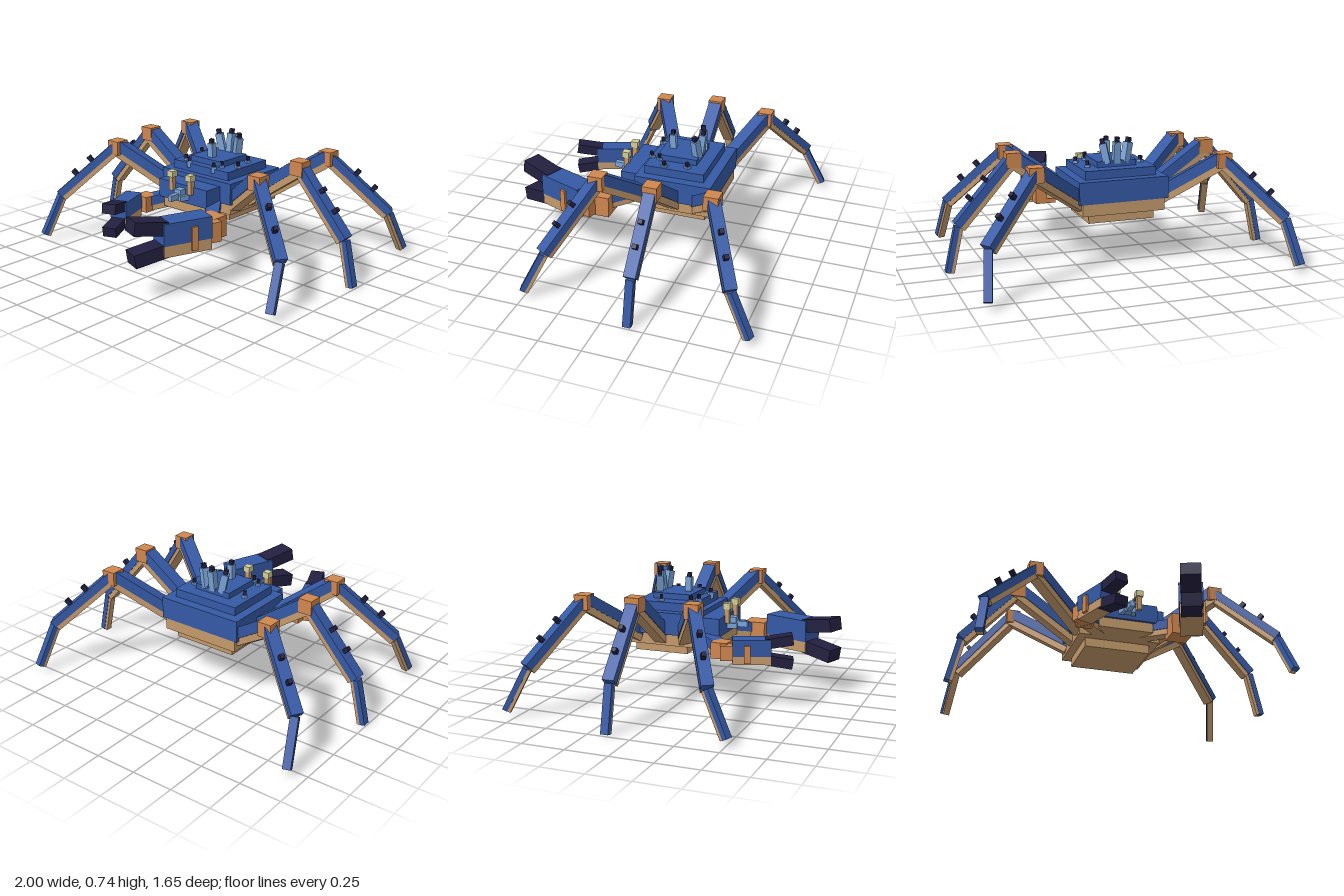
import * as THREE from 'three';

const paint = (name, color) => {
  const m = new THREE.MeshStandardMaterial({ color });
  m.name = name;
  return m;
};
const blue = paint('shell blue', 0x3559a5);
const tan = paint('belly tan', 0xc49a6c);
const orange = paint('joint orange', 0xd0874f);
const dark = paint('claw dark', 0x232040);
const sky = paint('spine light blue', 0x7aa4d8);
const cream = paint('eye cream', 0xd4cd98);

const V = (x, y, z) => new THREE.Vector3(x, y, z);

// Box given by size and centre
function box(parent, name, mat, size, pos) {
  const mesh = new THREE.Mesh(new THREE.BoxGeometry(...size), mat);
  mesh.name = name;
  mesh.position.set(...pos);
  parent.add(mesh);
  return mesh;
}

// Group at a whose +z runs towards b, with +y on the upper side
function along(parent, name, a, b) {
  const g = new THREE.Group();
  g.name = name;
  const z = b.clone().sub(a).normalize();
  const x = V(0, 1, 0).cross(z).normalize();
  const y = z.clone().cross(x);
  g.quaternion.setFromRotationMatrix(new THREE.Matrix4().makeBasis(x, y, z));
  g.position.copy(a);
  parent.add(g);
  return g;
}

// Two-tone limb: blue shell above, tan underside
function limb(parent, name, a, b, w, h) {
  const g = along(parent, name, a, b);
  const len = a.distanceTo(b);
  box(g, name + 'Shell', blue, [w, h * 0.62, len], [0, h * 0.19, len / 2]);
  box(g, name + 'Underside', tan, [w * 0.88, h * 0.38, len * 0.99], [0, -h * 0.31, len / 2]);
  return g;
}

// Leg: thigh, joint block, shin with two spikes, foot
function leg(parent, name, s, hip, joint, knee, toe) {
  const g = new THREE.Group();
  g.name = name;
  parent.add(g);
  const [h, j, k, t] = [hip, joint, knee, toe].map(p => V(p[0] * s, p[1], p[2]));
  limb(g, 'thigh', h, j, 0.08, 0.1);
  box(g, 'joint', orange, [0.085, 0.085, 0.085], j.toArray());
  const shin = limb(g, 'shin', j, k, 0.07, 0.075);
  const len = j.distanceTo(k);
  for (const f of [0.38, 0.66]) {
    box(shin, 'shinSpike', dark, [0.026, 0.04, 0.026], [0, 0.055, len * f]);
  }
  limb(g, 'foot', k, t, 0.046, 0.05);
}

// Claw: arm, wrist block, two-tone palm, hinge plate and two fingers
function claw(parent, name, s, c) {
  const g = new THREE.Group();
  g.name = name;
  parent.add(g);
  limb(g, 'arm', V(s * 0.14, 0.365, 0.07), V(c.wrist[0], 0.33, c.wrist[2]), 0.08, 0.09);
  box(g, 'wrist', orange, c.wristSize, c.wrist);
  const hand = new THREE.Group();
  hand.name = 'hand';
  hand.position.set(...c.palm);
  hand.rotation.y = -s * 0.36;
  g.add(hand);
  const [w, h, l] = c.size;
  box(hand, 'palmShell', blue, [w, h * 0.66, l], [0, h * 0.17, 0]);
  box(hand, 'palmUnderside', tan, [w * 0.96, h * 0.34, l * 0.99], [0, -h * 0.33, 0]);
  box(hand, 'hinge', orange, [0.016, h * 0.7, 0.036], [s * (w / 2 + 0.006), -0.01, -l * 0.12]);
  box(hand, 'wristLink', orange, [w * 0.7, h * 0.6, 0.1], [0, -0.01, -l / 2 - 0.02]);
  for (const up of [1, -1]) {
    const root = new THREE.Group();
    root.name = up > 0 ? 'upperFingerPivot' : 'lowerFingerPivot';
    root.position.set(0, up * h * 0.32, l / 2 - 0.03);
    root.rotation.x = -up * 0.16;
    hand.add(root);
    box(root, up > 0 ? 'upperFinger' : 'lowerFinger', dark,
      [w * 0.84, h * 0.4, c.finger], [0, 0, c.finger / 2]);
  }
}

// Pale spine with a dark tip
function spine(parent, a, b, w, tip) {
  const g = along(parent, 'spine', a, b);
  const len = a.distanceTo(b);
  box(g, 'spineShaft', sky, [w, w, len], [0, 0, len / 2]);
  box(g, 'spineTip', dark, [w * 0.6, w * 0.6, tip], [0, 0, len + tip / 2]);
}

export function createModel() {
  const model = new THREE.Group();
  model.name = 'crab';

  // Stepped shell and belly
  const body = new THREE.Group();
  body.name = 'body';
  model.add(body);
  box(body, 'shell', blue, [0.54, 0.13, 0.46], [0, 0.455, -0.15]);
  box(body, 'shellStep', blue, [0.43, 0.05, 0.36], [0, 0.545, -0.142]);
  box(body, 'shellCrown', blue, [0.24, 0.035, 0.24], [0, 0.587, -0.13]);
  box(body, 'belly', tan, [0.5, 0.07, 0.425], [0, 0.355, -0.162]);
  box(body, 'bellyStep', tan, [0.4, 0.055, 0.33], [0, 0.293, -0.165]);

  // Head with eye stalks and mouthparts
  const head = new THREE.Group();
  head.name = 'head';
  model.add(head);
  box(head, 'headShell', blue, [0.38, 0.11, 0.14], [0, 0.435, 0.125]);
  box(head, 'chin', tan, [0.33, 0.06, 0.14], [0, 0.35, 0.11]);
  for (const s of [-1, 1]) {
    box(head, 'eyeStalk', tan, [0.03, 0.09, 0.03], [s * 0.072, 0.49, 0.203]);
    box(head, 'eye', cream, [0.044, 0.036, 0.044], [s * 0.072, 0.547, 0.205]);
    const palp = box(head, 'palp', sky, [0.026, 0.03, 0.06], [s * 0.032, 0.42, 0.22]);
    palp.rotation.y = -s * 0.25;
  }
  box(head, 'snout', sky, [0.05, 0.06, 0.05], [0, 0.44, 0.215]);
  box(head, 'snoutTip', sky, [0.03, 0.035, 0.08], [0, 0.43, 0.265]);

  // Tall spines on the crown
  const spines = new THREE.Group();
  spines.name = 'spines';
  model.add(spines);
  for (const s of [-1, 1]) {
    spine(spines, V(s * 0.055, 0.59, -0.235), V(s * 0.078, 0.705, -0.225), 0.042, 0.028);
  }
  spine(spines, V(0, 0.59, -0.235), V(0, 0.715, -0.25), 0.04, 0.028);
  spine(spines, V(0, 0.59, -0.07), V(0, 0.69, -0.065), 0.038, 0.025);

  // Short spines around the shell
  const small = [[-0.175, -0.175], [-0.145, 0], [-0.095, 0.03], [0.115, -0.025],
    [0.1, 0.03], [0.195, -0.08], [0.165, -0.21]];
  for (const [x, z] of small) {
    spine(spines, V(x * 0.98, 0.545, z), V(x, 0.583, z + 0.002), 0.03, 0.024);
  }

  // Three mirrored pairs of legs
  for (const s of [-1, 1]) {
    leg(model, 'middleLeg', s, [0.22, 0.375, -0.15], [0.595, 0.635, -0.15],
      [0.915, 0.272, -0.15], [0.975, 0.006, -0.15]);
    for (const d of [-1, 1]) {
      leg(model, d > 0 ? 'frontLeg' : 'rearLeg', s, [0.22, 0.375, -0.15 + d * 0.14],
        [0.557, 0.617, -0.15 + d * 0.333], [0.868, 0.285, -0.15 + d * 0.53],
        [0.905, 0.04, -0.15 + d * 0.65]);
    }
  }

  // Large left claw and small right claw
  claw(model, 'leftClaw', 1, {
    wrist: [0.293, 0.325, 0.273], wristSize: [0.125, 0.125, 0.125],
    palm: [0.285, 0.338, 0.5], size: [0.138, 0.195, 0.295], finger: 0.2,
  });
  claw(model, 'rightClaw', -1, {
    wrist: [-0.263, 0.335, 0.237], wristSize: [0.095, 0.095, 0.095],
    palm: [-0.25, 0.34, 0.415], size: [0.1, 0.145, 0.22], finger: 0.155,
  });

  return model;
}
